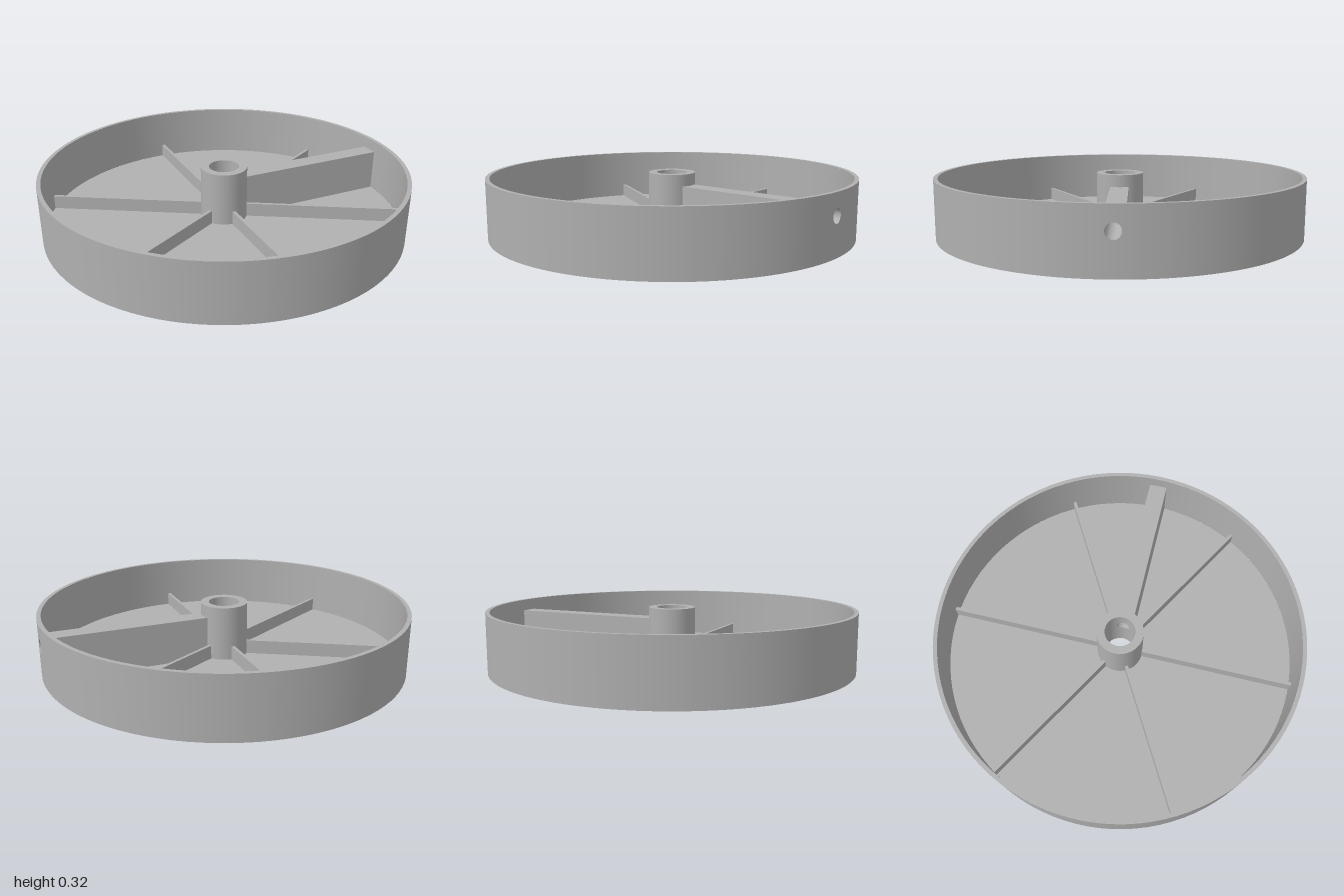
import * as THREE from 'three';

const HEIGHT = 0.32, FLOOR = 0.025;
const RIM_OUT = 1, RIM_IN = 0.978, HUB_OUT = 0.128, BORE = 0.083;
const HOLE_R = 0.037, HOLE_Y = 0.205;
const BLOCK_HALF = 0.05, BLOCK_TOP = 0.255;
const SEGS = 96;

// Patch of a cylinder wall around the +x axis, pierced by the radial hole
function piercedPatch(r, y0, y1, inward) {
  const w = BLOCK_HALF, up = y1 - HOLE_Y, down = HOLE_Y - y0, rings = 5;
  const angles = [Math.atan2(up, w), Math.atan2(up, -w),
    Math.atan2(-down, -w) + 2 * Math.PI, Math.atan2(-down, w) + 2 * Math.PI];
  for (let i = 0; i < 48; i++) angles.push((i / 48) * 2 * Math.PI);
  angles.sort((a, b) => a - b);
  angles.push(angles[0] + 2 * Math.PI);
  const pos = [], nor = [], idx = [], s = inward ? -1 : 1;
  angles.forEach((t, i) => {
    const c = Math.cos(t), n = Math.sin(t);
    const edge = Math.min(w / Math.max(Math.abs(c), 1e-6), (n > 0 ? up : down) / Math.max(Math.abs(n), 1e-6));
    for (let j = 0; j <= rings; j++) {
      const d = HOLE_R + (edge - HOLE_R) * j / rings;
      const z = d * c, x = Math.sqrt(r * r - z * z);
      pos.push(x, HOLE_Y + d * n, z);
      nor.push(s * x / r, 0, s * z / r);
      if (i < angles.length - 1 && j < rings) {
        const a = i * (rings + 1) + j, b = a + 1, e = a + rings + 1, f = e + 1;
        if (inward) idx.push(a, b, e, b, f, e);
        else idx.push(a, e, b, b, e, f);
      }
    }
  });
  const g = new THREE.BufferGeometry();
  g.setAttribute('position', new THREE.Float32BufferAttribute(pos, 3));
  g.setAttribute('normal', new THREE.Float32BufferAttribute(nor, 3));
  g.setIndex(idx);
  return g;
}

// The rest of that cylinder wall
function openWall(r, y0, y1, inward) {
  const a = Math.asin(BLOCK_HALF / r);
  const g = new THREE.CylinderGeometry(r, r, y1 - y0, SEGS, 1, true, Math.PI / 2 + a, 2 * Math.PI - 2 * a);
  g.translate(0, (y0 + y1) / 2, 0);
  if (inward) {
    g.index.array.reverse();
    const n = g.attributes.normal.array;
    for (let i = 0; i < n.length; i++) n[i] *= -1;
  }
  return g;
}

function ring(inner, outer, y, faceUp = true) {
  return new THREE.RingGeometry(inner, outer, SEGS).rotateX(faceUp ? -Math.PI / 2 : Math.PI / 2).translate(0, y, 0);
}

export function createModel() {
  const model = new THREE.Group();
  model.name = 'wheel';
  const grey = new THREE.MeshStandardMaterial({ color: 0xb0b0b0 });
  grey.name = 'grey';
  const add = (name, geometry) => {
    const mesh = new THREE.Mesh(geometry, grey);
    mesh.name = name;
    model.add(mesh);
    return mesh;
  };

  // Rim and hub walls, each drilled by the radial hole
  const walls = [
    ['rimOuterWall', RIM_OUT, 0, false],
    ['rimInnerWall', RIM_IN, FLOOR, true],
    ['hubOuterWall', HUB_OUT, FLOOR, false],
    ['hubBore', BORE, 0, true],
  ];
  for (const [name, r, y0, inward] of walls) {
    add(name, openWall(r, y0, HEIGHT, inward));
    add(name + 'Drilled', piercedPatch(r, y0, HEIGHT, inward));
  }

  // Flat faces
  add('underside', ring(BORE, RIM_OUT, 0, false));
  add('floor', ring(HUB_OUT, RIM_IN, FLOOR));
  add('rimTop', ring(RIM_IN, RIM_OUT, HEIGHT));
  add('hubTop', ring(BORE, HUB_OUT, HEIGHT));

  // Six low ribs
  const ribTop = 0.1, from = 0.12, to = 0.982;
  for (let i = 0; i < 6; i++) {
    const g = new THREE.BoxGeometry(to - from, ribTop - FLOOR, 0.018);
    g.translate((from + to) / 2, (ribTop + FLOOR) / 2, 0);
    add('rib', g).rotation.y = Math.PI / 6 + i * Math.PI / 3;
  }

  // Tall block from hub to rim that carries the hole
  const profile = new THREE.Shape();
  profile.moveTo(-BLOCK_HALF, FLOOR).lineTo(BLOCK_HALF, FLOOR)
    .lineTo(BLOCK_HALF, BLOCK_TOP).lineTo(-BLOCK_HALF, BLOCK_TOP);
  const clear = new THREE.Path();
  clear.absarc(0, HOLE_Y, HOLE_R + 0.001, 0, 2 * Math.PI, true);
  profile.holes.push(clear);
  const block = new THREE.ExtrudeGeometry(profile, { depth: 0.87, bevelEnabled: false, curveSegments: 24 });
  add('holeBlock', block.rotateY(Math.PI / 2).translate(0.112, 0, 0));

  // Hole lining, its ends trimmed to the bore and the rim
  const lining = new THREE.CylinderGeometry(HOLE_R, HOLE_R, 1, 48, 1, true).rotateZ(-Math.PI / 2);
  const p = lining.attributes.position, n = lining.attributes.normal;
  for (let i = 0; i < p.count; i++) {
    const r = p.getX(i) > 0 ? RIM_OUT : BORE, z = p.getZ(i);
    p.setXYZ(i, Math.sqrt(r * r - z * z), p.getY(i) + HOLE_Y, z);
    n.setXYZ(i, -n.getX(i), -n.getY(i), -n.getZ(i));
  }
  lining.index.array.reverse();
  add('holeLining', lining);

  return model;
}
